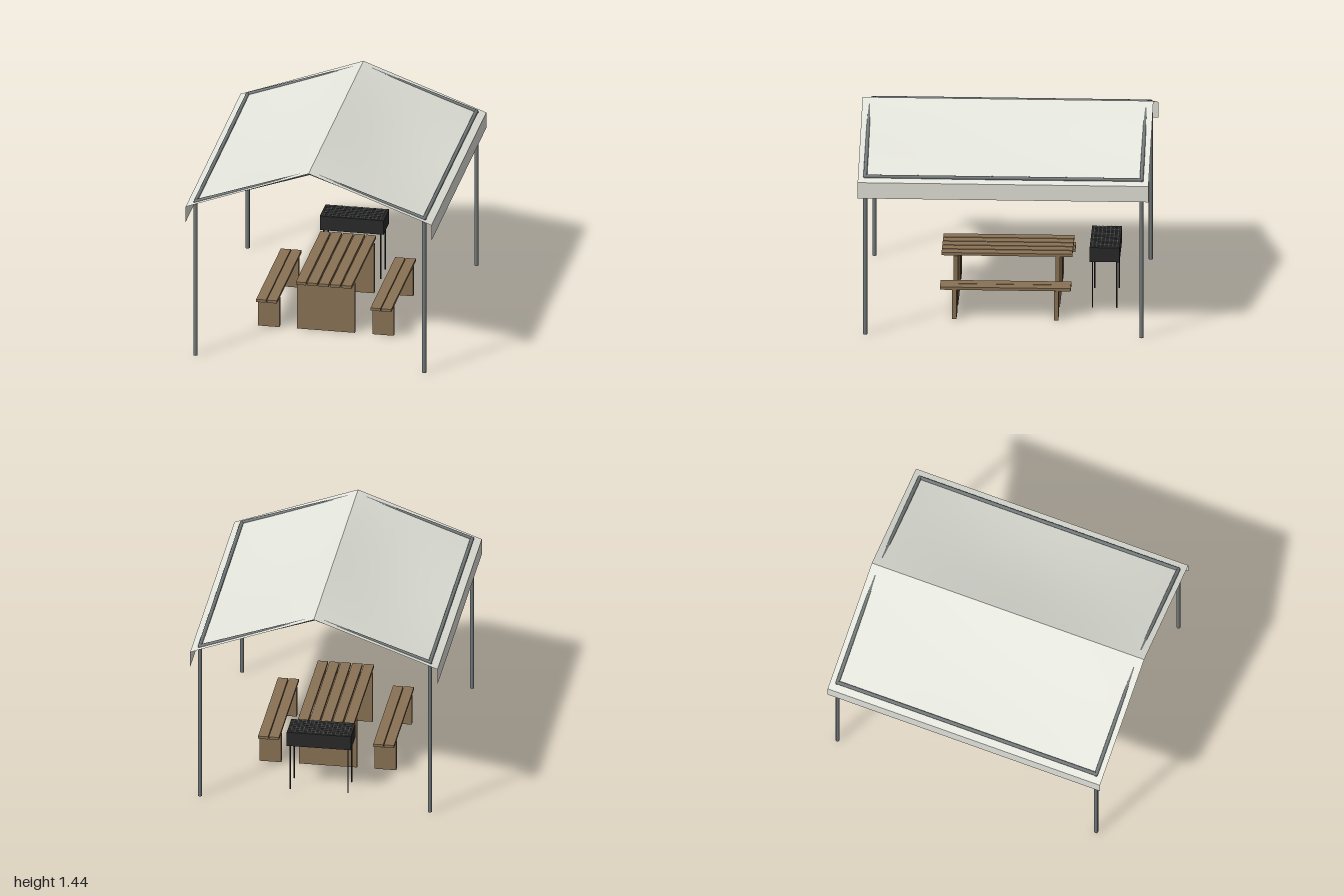
import * as THREE from 'three';

const mat = (name, color, side = THREE.FrontSide) => {
  const m = new THREE.MeshStandardMaterial({ color, side });
  m.name = name;
  return m;
};

export function createModel() {
  const root = new THREE.Group();
  root.name = 'picnicShelter';

  const canvas = mat('canvas', 0xe5e6dd, THREE.DoubleSide);
  const steel = mat('steel', 0x747a7b);
  const wood = mat('wood', 0x8b7355);
  const iron = mat('iron', 0x2a2a2a);
  const grateSteel = mat('grateSteel', 0x888a8a);

  const group = (name) => {
    const g = new THREE.Group();
    g.name = name;
    root.add(g);
    return g;
  };
  const box = (parent, name, material, [w, h, d], [x, y, z]) => {
    const m = new THREE.Mesh(new THREE.BoxGeometry(w, h, d), material);
    m.name = name;
    m.position.set(x, y, z);
    parent.add(m);
  };
  // Round bar between two points
  const bar = (parent, name, material, a, b, r, sides = 10) => {
    const p = new THREE.Vector3(...a), q = new THREE.Vector3(...b);
    const dir = q.clone().sub(p);
    const m = new THREE.Mesh(new THREE.CylinderGeometry(r, r, dir.length(), sides), material);
    m.name = name;
    m.position.copy(p).add(q).multiplyScalar(0.5);
    m.quaternion.setFromUnitVectors(new THREE.Vector3(0, 1, 0), dir.normalize());
    parent.add(m);
  };

  // Frame: posts, eave beams, rafters and ridge beam
  const frame = group('frame');
  const R = 0.013, POST_R = 0.0145, PX = 0.8, PZ = 0.95, EAVE = 1.15, RIDGE = 1.426;
  for (const sx of [-1, 1]) {
    bar(frame, 'eaveBeam', steel, [sx * PX, EAVE, -PZ], [sx * PX, EAVE, PZ], R);
    for (const sz of [-1, 1]) {
      bar(frame, 'post', steel, [sx * PX, 0, sz * PZ], [sx * PX, EAVE, sz * PZ], POST_R);
      bar(frame, 'rafter', steel, [sx * PX, EAVE, sz * PZ], [0, RIDGE, sz * PZ], R);
      const joint = new THREE.Mesh(new THREE.SphereGeometry(R, 10, 8), steel);
      joint.name = 'cornerJoint';
      joint.position.set(sx * PX, EAVE, sz * PZ);
      frame.add(joint);
    }
  }
  bar(frame, 'ridgeBeam', steel, [0, RIDGE, -PZ], [0, RIDGE, PZ], R);

  // Canopy: two slopes that sag in the middle, each with a hanging valance
  const canopy = group('canopy');
  const HALF = 0.86, TOP = 1.441, EDGE = 1.125, VALANCE = 1.01;
  for (const sx of [-1, 1]) {
    const geo = new THREE.PlaneGeometry(HALF, 2, 12, 16);
    geo.rotateX(-Math.PI / 2);
    const p = geo.attributes.position;
    for (let i = 0; i < p.count; i++) {
      const x = p.getX(i) + sx * HALF / 2;
      const u = Math.abs(x) / HALF;
      const sag = 0.024 * Math.sin(Math.PI * u) * Math.cos(p.getZ(i) * Math.PI / 2);
      p.setXYZ(i, x, TOP + (EDGE - TOP) * u - sag, p.getZ(i));
    }
    geo.computeVertexNormals();
    const slope = new THREE.Mesh(geo, canvas);
    slope.name = 'roofSlope';
    canopy.add(slope);

    const valance = new THREE.Mesh(new THREE.PlaneGeometry(2, EDGE - VALANCE), canvas);
    valance.name = 'valance';
    valance.rotation.y = sx * Math.PI / 2;
    valance.position.set(sx * HALF, (EDGE + VALANCE) / 2, 0);
    canopy.add(valance);
  }

  // Slatted furniture: planks resting on two end panels
  const slatted = (name, cx, planks, pitch, top, thick, panelWidth) => {
    const g = group(name);
    for (let i = 0; i < planks; i++) {
      const x = cx + (i - (planks - 1) / 2) * pitch;
      box(g, 'plank', wood, [0.07, thick, 0.9], [x, top - thick / 2, 0]);
    }
    const h = top - thick;
    for (const sz of [-1, 1]) {
      box(g, 'endPanel', wood, [panelWidth, h, 0.03], [cx, h / 2, sz * 0.35]);
    }
  };
  slatted('table', 0, 5, 0.08, 0.384, 0.02, 0.405);
  slatted('leftBench', 0.4, 2, 0.075, 0.232, 0.02, 0.15);
  slatted('rightBench', -0.4, 2, 0.075, 0.232, 0.02, 0.15);

  // Barbecue: fire box on thin legs with a crossed grate
  const grill = group('barbecue');
  const GZ = -0.673;
  box(grill, 'fireBox', iron, [0.446, 0.104, 0.206], [0, 0.392, GZ]);
  for (const x of [-0.2, 0.2]) {
    for (const dz of [-0.084, 0.084]) {
      bar(grill, 'grillLeg', iron, [x, 0, GZ + dz], [x, 0.345, GZ + dz], 0.005, 8);
    }
  }
  for (let i = 0; i < 7; i++) {
    const z = GZ + (i - 3) * 0.028;
    bar(grill, 'grateBar', grateSteel, [-0.21, 0.448, z], [0.21, 0.448, z], 0.003, 6);
  }
  for (let i = 0; i < 15; i++) {
    const x = (i - 7) * 0.028;
    bar(grill, 'grateCrossBar', grateSteel, [x, 0.448, GZ - 0.092], [x, 0.448, GZ + 0.092], 0.003, 6);
  }

  return root;
}
